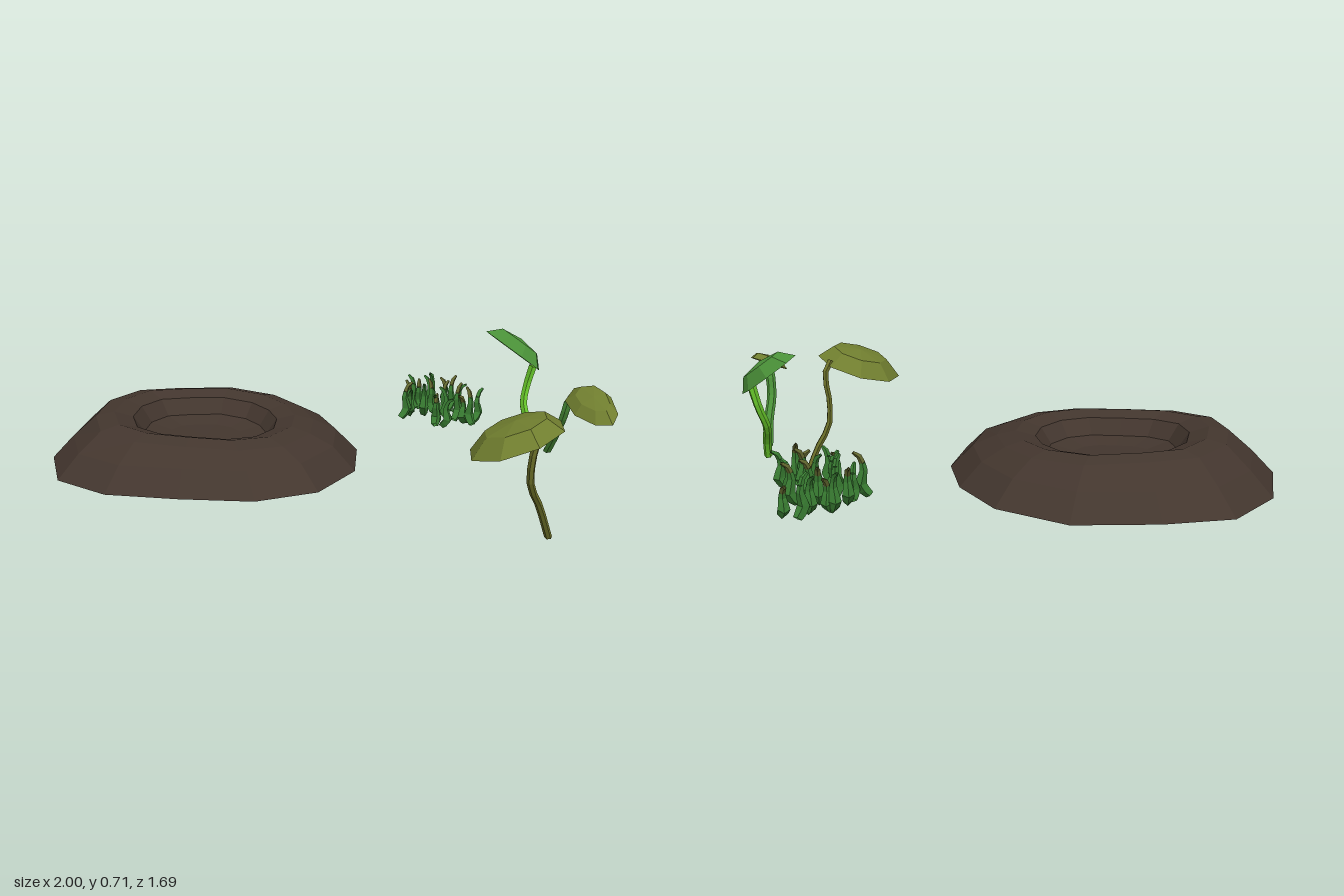
import * as THREE from 'three';

const mat = (name, color) => new THREE.MeshStandardMaterial({ name, color, flatShading: true, side: THREE.DoubleSide });
const V = (p) => new THREE.Vector3(...p);

// Surface from matching closed rings of vectors, ending in a centre point
function ringSurface(rings, centre) {
  const n = rings[0].length, idx = [];
  for (let r = 0; r < rings.length; r++) {
    for (let i = 0; i < n; i++) {
      const a = r * n + i, b = r * n + (i + 1) % n;
      if (r === rings.length - 1) idx.push(a, rings.length * n, b);
      else idx.push(a, a + n, b, b, a + n, b + n);
    }
  }
  const g = new THREE.BufferGeometry().setFromPoints([...rings.flat(), centre]);
  g.setIndex(idx);
  g.computeVertexNormals();
  return g;
}

// Tube along a smooth path; its radius eases through a list and may be flattened by axis
function taperedTube(points, radii, segments, sides, flatten = [1, 1, 1]) {
  const curve = new THREE.CatmullRomCurve3(points);
  const g = new THREE.TubeGeometry(curve, segments, 1, sides, false);
  const p = g.attributes.position, v = new THREE.Vector3();
  for (let i = 0; i < p.count; i++) {
    const t = Math.floor(i / (sides + 1)) / segments;
    const f = t * (radii.length - 1), k = Math.min(Math.floor(f), radii.length - 2);
    const r = THREE.MathUtils.lerp(radii[k], radii[k + 1], f - k);
    const c = curve.getPointAt(t);
    v.fromBufferAttribute(p, i).sub(c).multiplyScalar(r).multiply(V(flatten)).add(c);
    p.setXYZ(i, v.x, v.y, v.z);
  }
  g.computeVertexNormals();
  return g;
}

// Domed oval leaf: centre, half length, half width, dome height, and how far the tip narrows
function leafGeometry({ centre, along, across, dome, narrow }) {
  const sides = 8;
  const ring = (s, lift) => Array.from({ length: sides }, (_, i) => {
    const t = (i / sides) * Math.PI * 2;
    return V(centre).addScaledVector(V(along), s * Math.cos(t))
      .addScaledVector(V(across), s * Math.sin(t) * (1 - narrow * Math.cos(t)) * 1.05)
      .addScaledVector(V(dome), lift);
  });
  return ringSurface([ring(1, 0), ring(0.65, 0.8)], V(centre).add(V(dome)));
}

export function createModel() {
  const model = new THREE.Group();
  const soil = mat('soil brown', 0x43362e);
  const olive = mat('olive leaf', 0x707e2f);
  const oliveStem = mat('olive stem', 0x6c7029);
  const green = mat('leaf green', 0x4a9038);
  const lime = mat('lime stem', 0x66c42a);
  const grass = mat('grass green', 0x3a7f33);
  const dryGrass = mat('dry grass', 0x63682f);
  const group = (name) => {
    const g = new THREE.Group();
    g.name = name;
    model.add(g);
    return g;
  };
  const add = (name, geometry, material, parent) => {
    const m = new THREE.Mesh(geometry, material);
    m.name = name;
    parent.add(m);
  };

  // Soil mound: base outline shrunk towards the crater, ring by ring
  const outline = [[-0.66, -0.84], [-0.4, -0.845], [-0.09, -0.8], [0.13, -0.6], [0.22, -0.35], [0.22, -0.09], [0.12, 0.16],
    [-0.09, 0.34], [-0.34, 0.36], [-0.6, 0.25], [-0.85, 0.12], [-1, -0.09], [-0.99, -0.38], [-0.87, -0.66]];
  const cx = -0.38, cz = -0.27;
  const profile = [[1, 0.235], [0.86, 0.325], [0.71, 0.388], [0.59, 0.404], [0.47, 0.383], [0.4, 0.32], [0.25, 0.302]];
  const rings = profile.map(([s, y]) => outline.map(([x, z]) => {
    const dx = (x - cx) * s, dz = (z - cz) * s;
    return V([cx + dx, s > 0.8 ? y : y - 0.035 * dx - 0.03 * dz, cz + dz]);
  }));
  add('soilMound', ringSurface(rings, V([cx, 0.298, cz])), soil, model);

  // Sprouts: a bent, slightly flat stem with one domed leaf each
  const sprout = (name, stemMaterial, leafMaterial, path, flatten, leaf) => {
    const g = group(name);
    add('stem', taperedTube(path.map(V), [0.018, 0.018, 0.017, 0.019], 10, 6, flatten), stemMaterial, g);
    add('leaf', leafGeometry(leaf), leafMaterial, g);
  };
  sprout('tallSprout', oliveStem, olive,
    [[0.795, 0.008, 0.505], [0.735, 0.15, 0.525], [0.68, 0.25, 0.545], [0.675, 0.37, 0.56], [0.688, 0.47, 0.572], [0.66, 0.525, 0.6]],
    [0.75, 0.8, 1.1],
    { centre: [0.535, 0.48, 0.68], along: [-0.178, -0.055, 0.01], across: [0, 0.02, 0.155], dome: [-0.01, 0.075, 0], narrow: 0 });
  sprout('middleSprout', green, olive,
    [[0.93, 0.26, 0.23], [0.925, 0.35, 0.295], [0.91, 0.44, 0.365], [0.915, 0.53, 0.4], [0.925, 0.55, 0.44]],
    [1.1, 0.7, 0.75],
    { centre: [0.922, 0.534, 0.545], along: [0, -0.035, 0.138], across: [0.072, 0.027, 0], dome: [0, 0.038, 0], narrow: 0.2 });
  sprout('limeSprout', lime, green,
    [[0.925, 0.255, 0.11], [0.925, 0.32, 0.085], [0.92, 0.4, 0.03], [0.945, 0.48, 0.005], [0.965, 0.56, 0.01]],
    [0.9, 1, 1.15],
    { centre: [0.897, 0.617, -0.046], along: [-0.07, 0.062, -0.095], across: [0.073, -0.05, -0.027], dome: [0.036, 0.05, 0.006], narrow: 0 });

  // Grass patch: short curling blades, many with dry tips
  let seed = 7;
  const rand = () => (seed = (seed * 16807) % 2147483647) / 2147483647;
  const patch = group('grassPatch');
  const blades = [[0.57, -0.42], [0.61, -0.45], [0.63, -0.5], [0.67, -0.43], [0.73, -0.48], [0.68, -0.57], [0.7, -0.56],
    [0.79, -0.61], [0.85, -0.59], [0.76, -0.57], [0.82, -0.47], [0.83, -0.41], [0.76, -0.42], [0.74, -0.34], [0.78, -0.32],
    [0.68, -0.31], [0.66, -0.28], [0.69, -0.24], [0.79, -0.27], [0.86, -0.28], [0.81, -0.24]];
  blades.forEach(([x, z], i) => {
    const lean = rand() * Math.PI * 2, h = 0.11 + rand() * 0.055;
    const at = (d, t) => V([x + Math.cos(lean) * d, 0.25 + h * t, z + Math.sin(lean) * d]);
    add('grassBlade', taperedTube([at(-0.018, 0), at(0.012, 0.25), at(0, 0.55), at(0.004, 0.75)], [0.016, 0.023, 0.016, 0.011], 5, 4), grass, patch);
    add('bladeTip', taperedTube([at(0.004, 0.75), at(0.014, 0.9), at(0.036, 1)], [0.011, 0.01, 0.006], 2, 4), i % 2 ? grass : dryGrass, patch);
  });
  return model;
}
